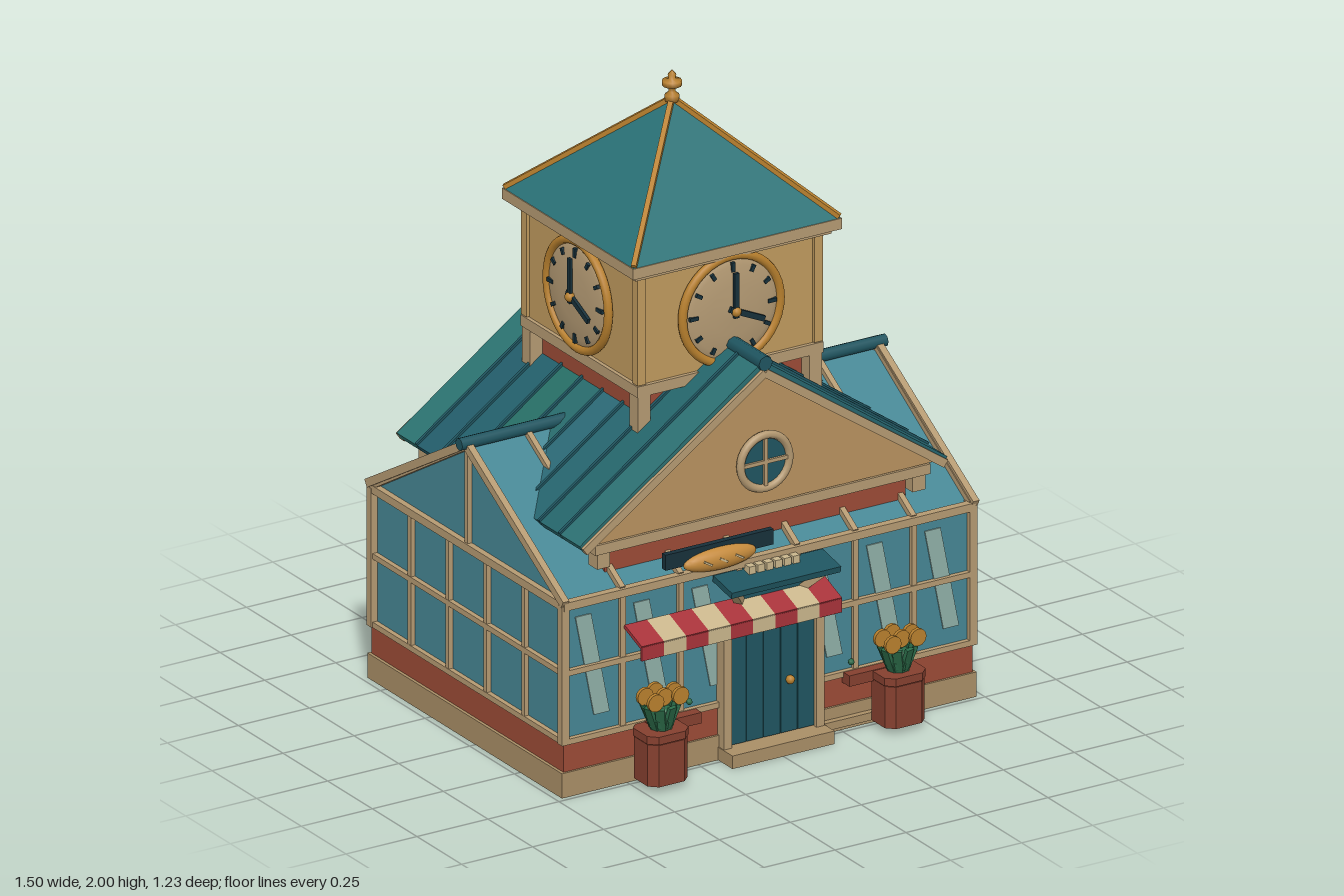
import * as THREE from 'three';

const C = { trim: 0xb59a72, wall: 0xc09a5e, gable: 0xb8925f, brick: 0x9c4b36, brickDark: 0x7d3a2b, glass: 0x468694, shine: 0x8fb0a8,
  teal: 0x2a7176, tealDark: 0x1f5560, navy: 0x17303a, gold: 0xb8802e, dial: 0xb59b74, red: 0xa8333a, cream: 0xc9b68c,
  pot: 0x85402f, leaf: 0x2b6a48, loaf: 0xc48a3c, stone: 0xa98e66 };
const mats = {};
const mat = (c, flat = false) => (mats[c + '_' + flat] ??= new THREE.MeshStandardMaterial({ color: c, flatShading: flat, side: THREE.DoubleSide }));
const V = (x, y, z) => new THREE.Vector3(x, y, z);

function add(parent, name, geo, color, x = 0, y = 0, z = 0, flat = false) {
  const m = new THREE.Mesh(geo, mat(color, flat));
  m.name = name;
  m.position.set(x, y, z);
  parent.add(m);
  return m;
}
const box = (p, name, color, w, h, d, x, y, z) => add(p, name, new THREE.BoxGeometry(w, h, d), color, x, y, z);
// Rectangular bar from a to b
function beam(p, name, color, a, b, w, h = w) {
  const mid = a.clone().add(b).multiplyScalar(0.5);
  const m = box(p, name, color, w, h, a.distanceTo(b), mid.x, mid.y, mid.z);
  m.quaternion.setFromRotationMatrix(new THREE.Matrix4().lookAt(a, b, V(0, 1, 0)));
  return m;
}
function prism(p, name, color, pts, depth, z = 0) {
  const shape = new THREE.Shape(pts.map(q => new THREE.Vector2(...q)));
  const geo = new THREE.ExtrudeGeometry(shape, { depth, bevelEnabled: false }).translate(0, 0, -depth / 2);
  return add(p, name, geo, color, 0, 0, z);
}
function group(parent, name, x = 0, y = 0, z = 0) {
  const g = new THREE.Group();
  g.name = name;
  g.position.set(x, y, z);
  parent.add(g);
  return g;
}

// Glazed hall: plinth, brick course, glass gable body and its frame
function buildHall(root) {
  const g = group(root, 'glassHall', 0, 0, -0.06);
  box(g, 'plinth', C.stone, 1.46, 0.08, 1.09, 0, 0.04, 0);
  box(g, 'brickCourse', C.brick, 1.44, 0.1, 1.075, 0, 0.125, 0);
  prism(g, 'glassBody', C.glass, [[-0.53, 0.17], [0.53, 0.17], [0.53, 0.62], [0, 0.94], [-0.53, 0.62]], 1.42).rotation.y = Math.PI / 2;
  const xs = Array.from({ length: 8 }, (_, i) => -0.718 + i * 0.205);
  for (const s of [-1, 1]) {
    for (const x of xs) {
      box(g, 'mullion', C.trim, 0.018, 0.45, 0.02, x, 0.395, s * 0.533);
      beam(g, 'glassRafter', C.trim, V(x, 0.625, s * 0.535), V(x, 0.945, 0), 0.018, 0.024);
    }
    for (const [y, t] of [[0.178, 0.018], [0.4, 0.018], [0.618, 0.026]]) {
      box(g, 'frontRail', C.trim, 1.45, t, t, 0, y, s * 0.537);
      box(g, 'sideRail', C.trim, t, t, 1.08, s * 0.717, y, 0);
    }
    for (let i = 0; i < 6; i++) box(g, 'sideMullion', C.trim, 0.02, 0.45, 0.018, s * 0.715, 0.395, -0.53 + i * 0.212);
    box(g, 'gablePost', C.trim, 0.02, 0.32, 0.018, s * 0.715, 0.78, 0);
    for (const t of [-1, 1]) {
      beam(g, 'gableRake', C.trim, V(s * 0.722, 0.628, t * 0.55), V(s * 0.722, 0.95, 0), 0.022, 0.026);
      box(g, 'cornerPost', C.trim, 0.026, 0.45, 0.026, s * 0.718, 0.395, t * 0.535);
    }
    // Slanted glints on the panes
    for (let i = 0; i < 7; i++) {
      if (s > 0 && i === 3) continue;
      const x = -0.615 + i * 0.205;
      prism(g, 'glint', C.shine, [[x - 0.06, 0.57], [x - 0.005, 0.57], [x + 0.06, 0.24], [x + 0.005, 0.24]], 0.004, s * 0.532);
    }
  }
  add(g, 'hallRidge', new THREE.CylinderGeometry(0.02, 0.02, 1.5, 8).rotateZ(Math.PI / 2), C.tealDark, 0, 0.955, 0);
}

// Cross roof with panel strips, gable walls and the brick core beneath
function buildCrossRoof(root) {
  const g = group(root, 'crossRoof', 0, 0, -0.06);
  box(g, 'brickCore', C.brick, 1.06, 0.2, 0.93, 0, 0.66, 0);
  prism(g, 'gableWall', C.gable, [[-0.61, 0.775], [0.61, 0.775], [0, 1.21]], 1.01);
  const shades = [0x286b6c, 0x235f6b, 0x2b7370, 0x25666b, 0x2b6976, 0x276e66, 0x235c6a, 0x2c7073, 0x26656e];
  const w = 1.03 / 9;
  for (const s of [-1, 1]) {
    shades.forEach((c, i) => {
      const z = (i - 4) * w, k = s > 0 ? c : shades[(i * 4 + 2) % 9];
      beam(g, 'roofPanel', k, V(0, 1.225, z), V(s * 0.64, 0.775, z), w - 0.004, 0.025);
      if (i) beam(g, 'roofSeam', C.tealDark, V(0, 1.233, z - w / 2), V(s * 0.643, 0.78, z - w / 2), 0.01, 0.028);
    });
    for (const t of [-1, 1]) {
      beam(g, 'rakeBoard', C.trim, V(0, 1.205, t * 0.513), V(s * 0.635, 0.768, t * 0.513), 0.024, 0.026);
      box(g, 'corbel', C.trim, 0.045, 0.05, 0.05, s * 0.555, 0.715, t * 0.475);
    }
    box(g, 'gableBeam', C.trim, 1.18, 0.032, 0.06, 0, 0.757, s * 0.48);
    box(g, 'eaveBeam', C.trim, 0.05, 0.025, 1.0, s * 0.56, 0.765, 0);
  }
  add(g, 'crossRidge', new THREE.CylinderGeometry(0.024, 0.024, 1.05, 8).rotateX(Math.PI / 2), C.tealDark, 0, 1.236, 0);

  // Round gable window
  const win = group(g, 'roundWindow', 0, 0.918, 0.51);
  add(win, 'roundPane', new THREE.CylinderGeometry(0.085, 0.085, 0.02, 32).rotateX(Math.PI / 2), C.tealDark);
  add(win, 'roundFrame', new THREE.TorusGeometry(0.086, 0.013, 8, 32), C.trim, 0, 0, 0.01);
  box(win, 'glazingBar', C.trim, 0.16, 0.012, 0.012, 0, 0, 0.012);
  box(win, 'glazingBar', C.trim, 0.012, 0.16, 0.012, 0, 0, 0.012);
}

function buildClock(parent, angle) {
  const pivot = group(parent, 'clock', 0, 1.345, 0);
  pivot.rotation.y = angle;
  const c = group(pivot, 'clockFace', 0, 0, 0.322);
  const dial = [[0, 0.028], [0.08, 0.025], [0.14, 0.018], [0.17, 0.008], [0.17, 0]].map(q => new THREE.Vector2(...q));
  add(c, 'dial', new THREE.LatheGeometry(dial, 40).rotateX(Math.PI / 2), C.dial);
  add(c, 'clockRim', new THREE.TorusGeometry(0.172, 0.014, 10, 40), C.gold, 0, 0, 0.01);
  for (let i = 0; i < 12; i++) {
    const a = i * Math.PI / 6;
    box(c, 'hourMark', C.navy, 0.012, i % 3 ? 0.022 : 0.03, 0.012, Math.sin(a) * 0.138, Math.cos(a) * 0.138, 0.018).rotation.z = -a;
  }
  beam(c, 'minuteHand', C.navy, V(0, -0.02, 0.038), V(0, 0.125, 0.038), 0.016, 0.01);
  beam(c, 'hourHand', C.navy, V(-0.02, 0.01, 0.035), V(0.1, -0.045, 0.035), 0.01, 0.018);
  add(c, 'handHub', new THREE.SphereGeometry(0.016, 12, 8), C.gold, 0, 0, 0.038);
}

// Clock tower with pyramid roof and finial
function buildTower(root) {
  const g = group(root, 'clockTower', 0, 0, -0.06);
  box(g, 'towerBrick', C.brick, 0.56, 0.25, 0.56, 0, 1.01, 0);
  box(g, 'towerSill', C.trim, 0.655, 0.035, 0.655, 0, 1.145, 0);
  box(g, 'towerBody', C.wall, 0.63, 0.37, 0.63, 0, 1.345, 0);
  box(g, 'towerCornice', C.trim, 0.69, 0.02, 0.69, 0, 1.525, 0);
  box(g, 'towerEave', C.trim, 0.735, 0.035, 0.735, 0, 1.55, 0);
  for (const sx of [-1, 1]) for (const sz of [-1, 1]) {
    box(g, 'towerLeg', C.trim, 0.045, 0.2, 0.045, sx * 0.302, 1.03, sz * 0.302);
    box(g, 'towerCorner', C.wall, 0.03, 0.35, 0.03, sx * 0.311, 1.34, sz * 0.311);
    beam(g, 'hipRidge', C.gold, V(sx * 0.362, 1.572, sz * 0.362), V(0, 1.91, 0), 0.016);
  }
  add(g, 'towerRoof', new THREE.ConeGeometry(0.365 * Math.SQRT2, 0.34, 4).rotateY(Math.PI / 4), C.teal, 0, 1.737, 0, true);
  const fin = [[0, 1.89], [0.022, 1.9], [0.022, 1.92], [0.01, 1.93], [0.01, 1.945], [0.03, 1.95], [0.03, 1.966], [0.01, 1.97], [0.013, 1.985], [0, 2]];
  add(g, 'finial', new THREE.LatheGeometry(fin.map(q => new THREE.Vector2(...q)), 12), C.gold);
  for (let i = 0; i < 4; i++) buildClock(g, i * Math.PI / 2);
}

function buildChimney(root) {
  const g = group(root, 'chimney', 0.365, 0, -0.195);
  box(g, 'chimneyShaft', C.brick, 0.125, 0.4, 0.125, 0, 1.05, 0);
  for (let i = 0; i < 6; i++) box(g, 'brickBand', C.brickDark, 0.132, 0.01, 0.132, 0, 0.96 + i * 0.05, 0);
  for (const s of [-1, 1]) {
    box(g, 'chimneyCap', C.trim, 0.17, 0.026, 0.03, 0, 1.255, s * 0.07);
    box(g, 'chimneyCap', C.trim, 0.03, 0.026, 0.17, s * 0.07, 1.255, 0);
  }
  box(g, 'flue', C.navy, 0.12, 0.01, 0.12, 0, 1.25, 0);
}

// Door, canopy, striped awning, bread sign and steps
function buildEntrance(root) {
  const g = group(root, 'entrance');
  box(g, 'doorStep', C.stone, 0.36, 0.042, 0.12, 0, 0.021, 0.505);
  box(g, 'sideStep', C.stone, 0.36, 0.025, 0.03, 0.35, 0.03, 0.49);
  for (let i = 0; i < 5; i++) box(g, 'doorPlank', C.tealDark, 0.057, 0.39, 0.03, (i - 2) * 0.06, 0.24, 0.484);
  box(g, 'doorBacking', C.navy, 0.3, 0.39, 0.02, 0, 0.24, 0.482);
  for (const s of [-1, 1]) {
    box(g, 'doorJamb', C.trim, 0.028, 0.42, 0.05, s * 0.163, 0.25, 0.488);
    beam(g, 'canopyBracket', C.trim, V(s * 0.105, 0.495, 0.49), V(s * 0.16, 0.56, 0.545), 0.025);
    box(g, 'windowSill', C.pot, 0.18, 0.035, 0.05, s * 0.35, 0.168, 0.495);
    add(g, 'sillKnob', new THREE.SphereGeometry(0.01, 8, 6), C.leaf, s * 0.285, 0.215, 0.49);
  }
  box(g, 'doorLintel', C.trim, 0.36, 0.03, 0.05, 0, 0.455, 0.488);
  add(g, 'doorKnob', new THREE.SphereGeometry(0.014, 12, 8), C.gold, 0.06, 0.215, 0.507);
  prism(g, 'transom', C.tealDark, [[-0.11, 0.47], [0.11, 0.47], [0.14, 0.56], [-0.14, 0.56]], 0.02, 0.49);
  beam(g, 'canopy', C.tealDark, V(0, 0.588, 0.475), V(0, 0.568, 0.58), 0.385, 0.02);
  for (let i = 0; i < 6; i++) box(g, 'canopyDentil', C.cream, 0.024, 0.03, 0.03, (i - 2.5) * 0.031, 0.6, 0.5);

  // Awning stripes: sloped top and hanging valance
  for (let i = 0; i < 9; i++) {
    const x = -0.472 + i * 0.0783, c = i % 2 ? C.cream : C.red;
    beam(g, 'awningStripe', c, V(x, 0.508, 0.485), V(x, 0.472, 0.582), 0.0783, 0.012);
    box(g, 'awningValance', c, 0.0783, 0.044, 0.008, x, 0.452, 0.58);
  }
  // Sign board with loaf
  box(g, 'signBoard', C.navy, 0.38, 0.05, 0.02, -0.175, 0.68, 0.475);
  add(g, 'breadLoaf', new THREE.SphereGeometry(1, 24, 14).scale(0.128, 0.036, 0.03), C.loaf, -0.175, 0.655, 0.485);
  for (let i = -1; i < 2; i++) beam(g, 'loafScore', C.cream, V(-0.19 + i * 0.055, 0.665, 0.513), V(-0.165 + i * 0.055, 0.65, 0.515), 0.006);
}

function buildPlanter(root, x) {
  const g = group(root, 'planter', x, 0, 0.545);
  const pot = new THREE.Shape();
  const a = 0.07, b = 0.045, d = 0.062;
  [[-b, -d], [b, -d], [a, -0.038], [a, 0.038], [b, d], [-b, d], [-a, 0.038], [-a, -0.038]].forEach(([u, v], i) => (i ? pot.lineTo(u, v) : pot.moveTo(u, v)));
  add(g, 'pot', new THREE.ExtrudeGeometry(pot, { depth: 0.135, bevelEnabled: false }).rotateX(-Math.PI / 2), C.pot, 0, 0.02, 0);
  add(g, 'potRim', new THREE.ExtrudeGeometry(pot, { depth: 0.025, bevelEnabled: false }).scale(1.04, 1.04, 1).rotateX(-Math.PI / 2), C.pot, 0, 0.158, 0);
  for (let i = 0; i < 9; i++) {
    const t = i * Math.PI * 2 / 9;
    const end = V(Math.cos(t) * 0.058, 0.262, Math.sin(t) * 0.05);
    beam(g, 'leaf', C.leaf, V(Math.cos(t) * 0.025, 0.18, Math.sin(t) * 0.025), end, 0.028, 0.012);
  }
  add(g, 'foliage', new THREE.SphereGeometry(0.045, 8, 6), C.leaf, 0, 0.215, 0, true);
  // Flower heads face forward
  for (let i = 0; i < 6; i++) {
    const fx = (i % 3 - 1) * 0.047, fz = [0.045, 0.018, 0.035, -0.015, -0.035, -0.005][i];
    beam(g, 'stem', C.leaf, V(fx * 0.4, 0.2, fz * 0.5), V(fx, 0.285, fz), 0.007);
    add(g, 'flower', new THREE.CylinderGeometry(0.028, 0.028, 0.012, 12).rotateX(Math.PI / 2), C.gold, fx, 0.288, fz);
  }
}

export function createModel() {
  const root = new THREE.Group();
  root.name = 'bakeryClockHouse';
  buildHall(root);
  buildCrossRoof(root);
  buildTower(root);
  buildChimney(root);
  buildEntrance(root);
  for (const x of [-0.42, 0.415]) buildPlanter(root, x);
  return root;
}
